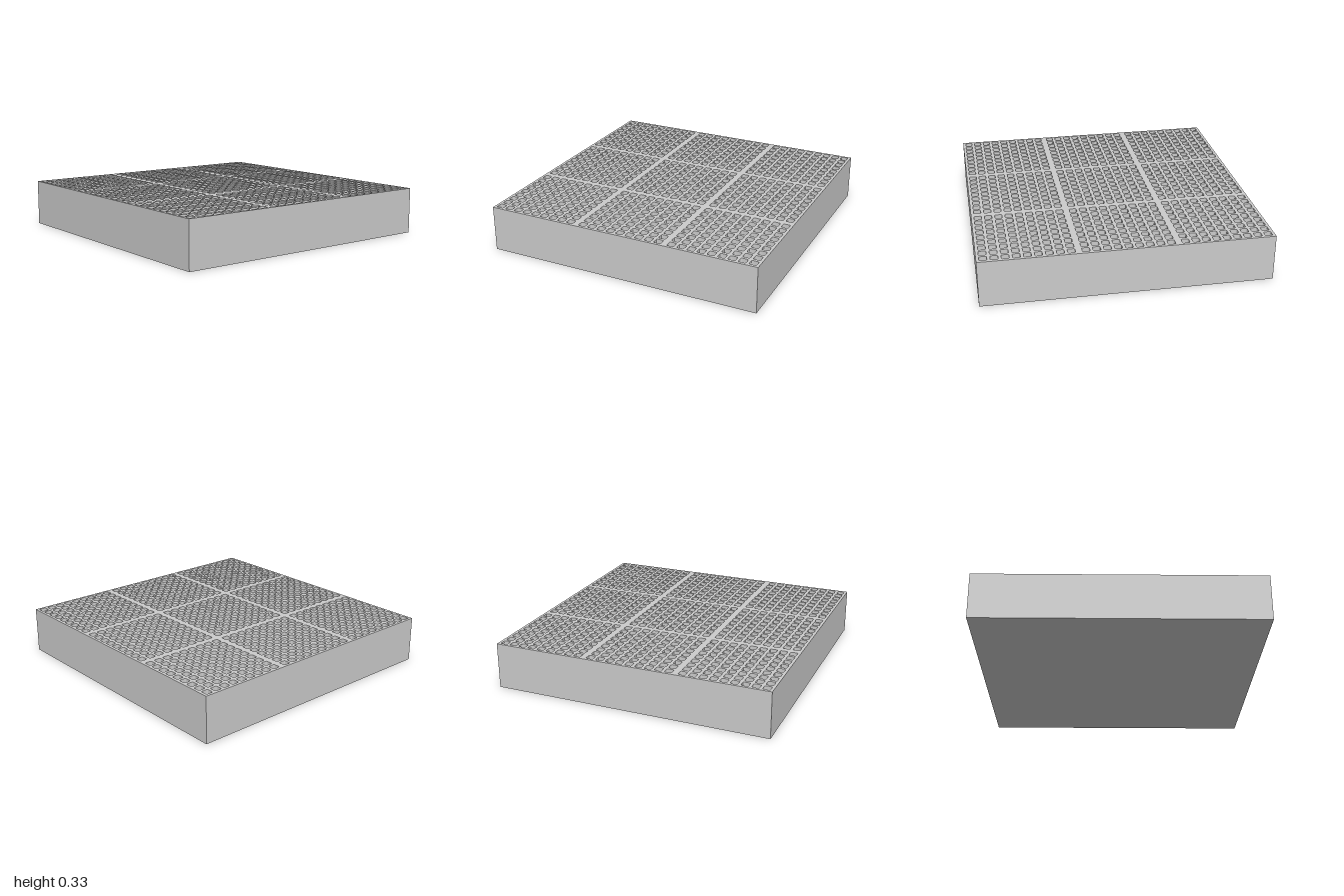
import * as THREE from 'three';
import { mergeGeometries, toCreasedNormals } from 'three/addons/utils/BufferGeometryUtils.js';

const SIZE = 2, HEIGHT = 0.33, DEPTH = 0.29;
const PITCH = 0.0716, BLOCK = 0.6685; // spacing of wells and of the 3 x 3 blocks
const HALF = 0.0255, RADIUS = 0.009, CORNER_STEPS = 3;

// Well centres along one axis: three blocks of nine
const centres = [];
for (let block = -1; block <= 1; block++)
  for (let i = -4; i <= 4; i++) centres.push(block * BLOCK + i * PITCH);

// Cell borders run halfway between neighbouring wells, and out to the rim
const borders = [-SIZE / 2];
for (let i = 1; i < centres.length; i++) borders.push((centres[i - 1] + centres[i]) / 2);
borders.push(SIZE / 2);

// Rounded square outline, counter-clockwise
function wellOutline(cx = 0, cy = 0) {
  const points = [];
  for (let corner = 0; corner < 4; corner++) {
    const mid = Math.PI / 4 + corner * Math.PI / 2;
    const ox = Math.sign(Math.cos(mid)) * (HALF - RADIUS);
    const oy = Math.sign(Math.sin(mid)) * (HALF - RADIUS);
    for (let s = 0; s <= CORNER_STEPS; s++) {
      const a = (corner + s / CORNER_STEPS) * Math.PI / 2;
      points.push(new THREE.Vector2(cx + ox + RADIUS * Math.cos(a), cy + oy + RADIUS * Math.sin(a)));
    }
  }
  return points;
}

// One well: inward-facing walls and a floor
function wellGeometry() {
  const outline = wellOutline();
  const positions = [];
  outline.forEach((a, i) => {
    const b = outline[(i + 1) % outline.length];
    positions.push(a.x, a.y, -DEPTH, b.x, b.y, 0, b.x, b.y, -DEPTH);
    positions.push(a.x, a.y, -DEPTH, a.x, a.y, 0, b.x, b.y, 0);
  });
  let walls = new THREE.BufferGeometry();
  walls.setAttribute('position', new THREE.Float32BufferAttribute(positions, 3));
  walls = toCreasedNormals(walls, Math.PI / 4);
  const floor = new THREE.ShapeGeometry(new THREE.Shape(outline)).toNonIndexed();
  floor.deleteAttribute('uv');
  floor.translate(0, 0, -DEPTH);
  return mergeGeometries([walls, floor]).rotateX(-Math.PI / 2);
}

// One piece of the top surface, pierced by its well
function cellGeometry(i, j) {
  const [x0, x1, y0, y1] = [borders[i], borders[i + 1], borders[j], borders[j + 1]];
  const cell = new THREE.Shape([
    new THREE.Vector2(x0, y0), new THREE.Vector2(x1, y0),
    new THREE.Vector2(x1, y1), new THREE.Vector2(x0, y1),
  ]);
  cell.holes.push(new THREE.Path(wellOutline(centres[i], centres[j])));
  return new THREE.ShapeGeometry(cell).rotateX(-Math.PI / 2);
}

export function createModel() {
  const model = new THREE.Group();
  model.name = 'wellBlock';
  const material = new THREE.MeshStandardMaterial({ color: 0xcccccc });
  const add = (name, geometry, y) => {
    const mesh = new THREE.Mesh(geometry, material);
    mesh.name = name;
    mesh.position.y = y;
    model.add(mesh);
  };

  // Sides and base: a box without its top face
  const shell = new THREE.BoxGeometry(SIZE, HEIGHT, SIZE);
  const index = Array.from(shell.index.array);
  index.splice(12, 6);
  shell.setIndex(index);
  shell.clearGroups();
  add('sidesAndBase', shell, HEIGHT / 2);

  // Pierced top and the wells beneath it
  const well = wellGeometry();
  const cells = [], wells = [];
  for (let i = 0; i < centres.length; i++)
    for (let j = 0; j < centres.length; j++) {
      cells.push(cellGeometry(i, j));
      wells.push(well.clone().translate(centres[i], 0, -centres[j]));
    }
  add('topGrid', mergeGeometries(cells), HEIGHT);
  add('wells', mergeGeometries(wells), HEIGHT);
  return model;
}
